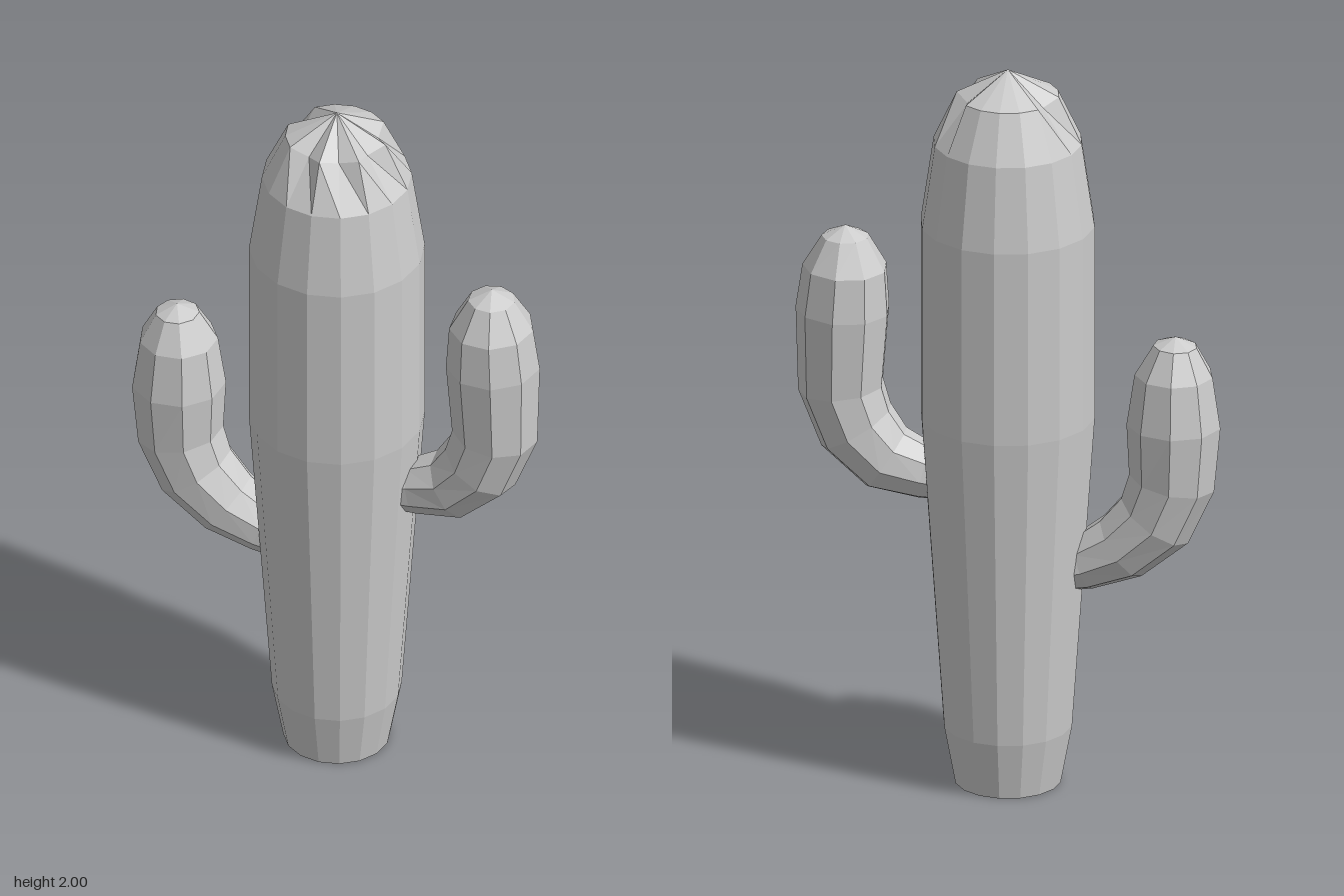
import * as THREE from 'three';

const material = new THREE.MeshStandardMaterial({ color: 0xcccccc, flatShading: true });

// Trunk: a 16-sided lathe with a few pleats pinched into the crown
function makeTrunk() {
  const profile = [[0, 0], [0.14, 0], [0.17, 0.16], [0.23, 1.03], [0.23, 1.57],
    [0.196, 1.8], [0.135, 1.93], [0, 2]].map(([r, y]) => new THREE.Vector2(r, y));
  const geometry = new THREE.LatheGeometry(profile, 16);
  const pos = geometry.attributes.position;
  for (const side of [1, 3, 5, 11, 15]) {
    const i = side * profile.length + 6;
    pos.setXYZ(i, pos.getX(i) * 0.8, pos.getY(i) - 0.015, pos.getZ(i) * 0.8);
  }
  geometry.computeVertexNormals();
  return new THREE.Mesh(geometry, material);
}

// Arm: rings of [x, y, radius] lofted along a bent path, closed by a point at each end
function makeArm(rings, tip, twist) {
  const sides = 9;
  const vertices = [];
  const indices = [];
  const dir = new THREE.Vector2();
  rings.forEach(([x, y, r], k) => {
    const a = rings[Math.max(k - 1, 0)];
    const b = rings[Math.min(k + 1, rings.length - 1)];
    dir.set(b[0] - a[0], b[1] - a[1]).normalize();
    for (let s = 0; s < sides; s++) {
      const t = (s / sides) * Math.PI * 2 + twist;
      const u = r * Math.cos(t);
      vertices.push(x + dir.y * u, y - dir.x * u, -r * Math.sin(t));
    }
  });
  const root = rings.length * sides;
  vertices.push(rings[0][0], rings[0][1], 0, tip[0], tip[1], 0);
  const last = (rings.length - 1) * sides;
  for (let s = 0; s < sides; s++) {
    const n = (s + 1) % sides;
    for (let k = 0; k < rings.length - 1; k++) {
      const a = k * sides + s, b = k * sides + n;
      indices.push(a, b, b + sides, a, b + sides, a + sides);
    }
    indices.push(root, n, s, root + 1, last + s, last + n);
  }
  const geometry = new THREE.BufferGeometry();
  geometry.setAttribute('position', new THREE.Float32BufferAttribute(vertices, 3));
  geometry.setIndex(indices);
  geometry.computeVertexNormals();
  return new THREE.Mesh(geometry, material);
}

export function createModel() {
  const cactus = new THREE.Group();
  cactus.name = 'cactus';

  const trunk = makeTrunk();
  trunk.name = 'trunk';

  // Higher arm on the model's left
  const leftArm = makeArm([
    [0.12, 0.84, 0.065], [0.22, 0.855, 0.076], [0.32, 0.885, 0.095], [0.4, 0.97, 0.108],
    [0.44, 1.08, 0.114], [0.435, 1.3, 0.125], [0.43, 1.42, 0.112], [0.43, 1.505, 0.062],
  ], [0.43, 1.535], 0.1);
  leftArm.name = 'leftArm';

  // Lower arm on the model's right
  const rightArm = makeArm([
    [-0.1, 0.6, 0.065], [-0.2, 0.625, 0.076], [-0.3, 0.675, 0.095], [-0.39, 0.76, 0.108],
    [-0.435, 0.87, 0.115], [-0.44, 1.03, 0.125], [-0.44, 1.17, 0.104], [-0.443, 1.25, 0.058],
  ], [-0.444, 1.275], 0.25);
  rightArm.name = 'rightArm';

  cactus.add(trunk, leftArm, rightArm);
  return cactus;
}
